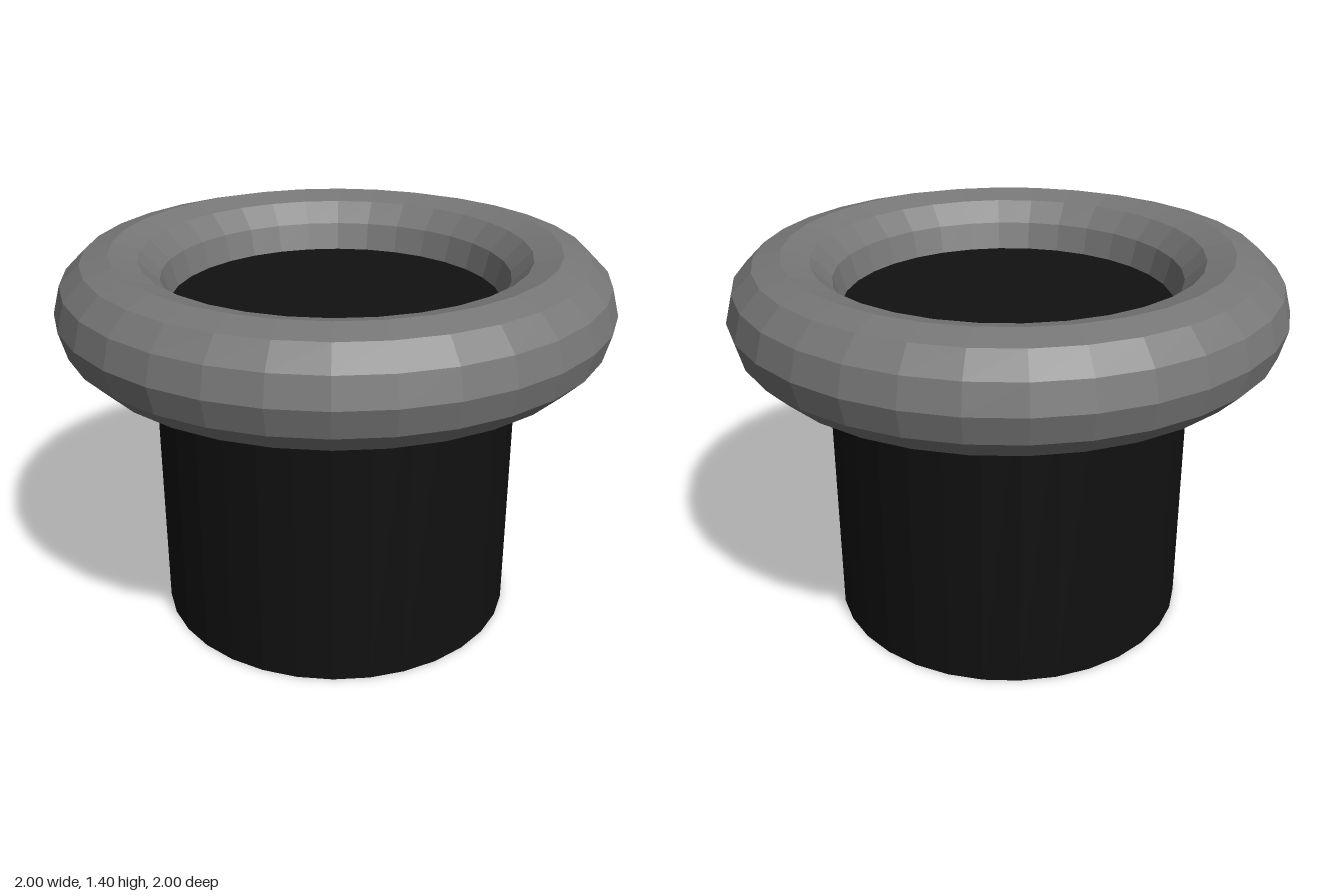
import * as THREE from 'three';

export function createModel() {
  const model = new THREE.Group();

  const rimGrey = new THREE.MeshStandardMaterial({ color: 0x777777, flatShading: true });
  rimGrey.name = 'rimGrey';
  const bodyBlack = new THREE.MeshStandardMaterial({ color: 0x111111, flatShading: true });
  bodyBlack.name = 'bodyBlack';

  // Closed cylinder whose top sits halfway up inside the ring
  const body = new THREE.Mesh(new THREE.CylinderGeometry(0.665, 0.665, 1.2, 32), bodyBlack);
  body.name = 'body';
  body.position.y = 0.6;

  // Thick faceted ring lying flat around the mouth
  const rim = new THREE.Mesh(new THREE.TorusGeometry(0.8, 0.2, 12, 32), rimGrey);
  rim.name = 'rim';
  rim.rotation.x = Math.PI / 2;
  rim.position.y = 1.2;

  model.add(body, rim);
  return model;
}
